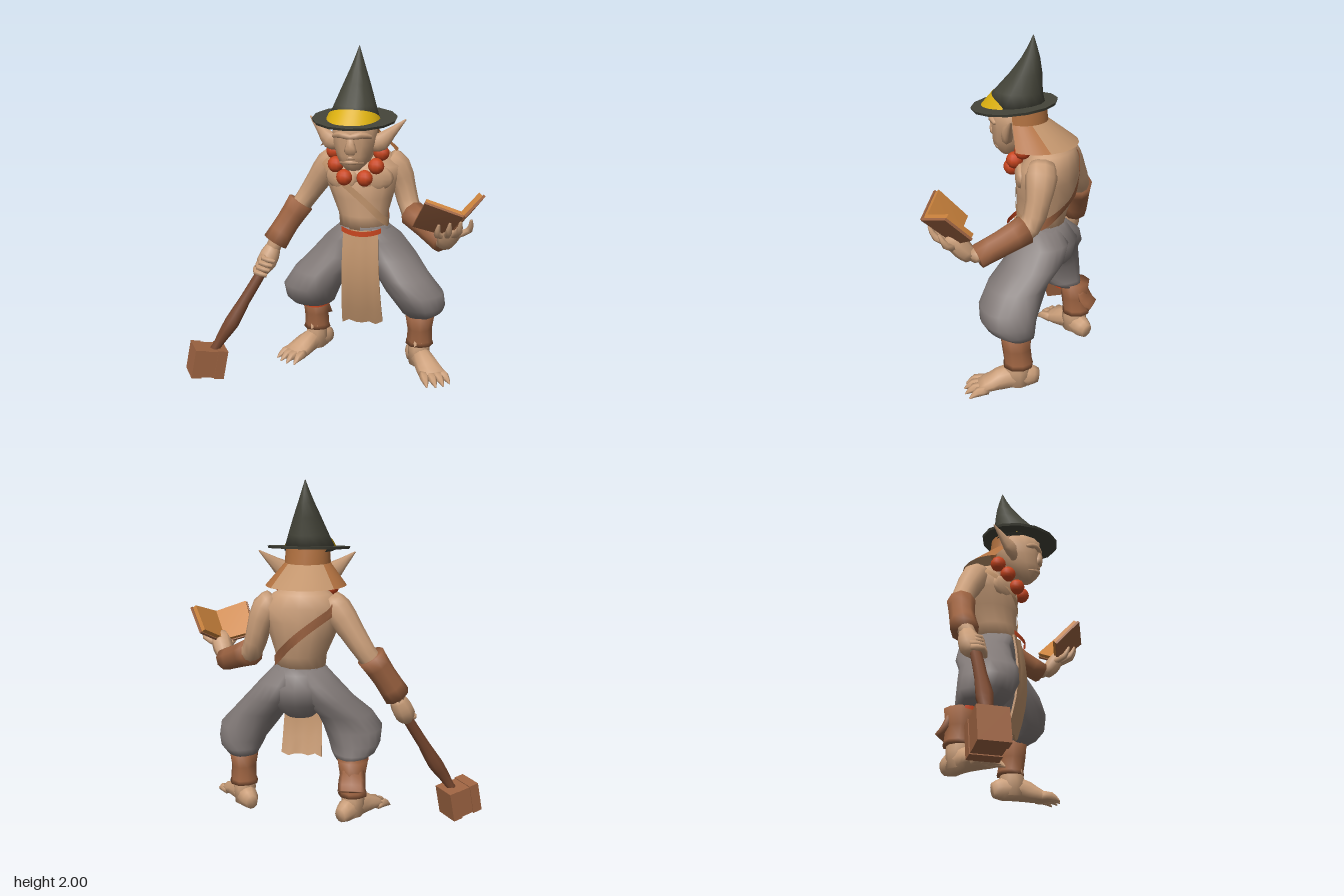
import * as THREE from 'three';

const mat = (name, color, side = THREE.FrontSide) => {
  const m = new THREE.MeshStandardMaterial({ color, side });
  m.name = name;
  return m;
};
const V = (x, y, z) => new THREE.Vector3(x, y, z);

function geometry(pos, idx) {
  const g = new THREE.BufferGeometry();
  g.setAttribute('position', new THREE.Float32BufferAttribute(pos, 3));
  g.setIndex(idx);
  g.computeVertexNormals();
  return g;
}

// Skin rings of n points, closing both ends. frame(i) gives centre, two axes and radii.
function skin(count, n, frame, ripple = 0) {
  const pos = [], idx = [];
  for (let i = 0; i < count; i++) {
    const { c, u, v, a, b } = frame(i);
    for (let j = 0; j < n; j++) {
      const t = (j / n) * Math.PI * 2;
      const k = 1 + ripple * Math.sin(t * 5 + i * 0.9);
      const p = c.clone().addScaledVector(u, a * k * Math.cos(t)).addScaledVector(v, b * k * Math.sin(t));
      pos.push(p.x, p.y, p.z);
      if (i < count - 1) {
        const q = i * n + j, r = i * n + ((j + 1) % n);
        idx.push(q, r, q + n, r, r + n, q + n);
      }
    }
  }
  const first = frame(0).c, last = frame(count - 1).c, s = count * n, e = (count - 1) * n;
  pos.push(first.x, first.y, first.z, last.x, last.y, last.z);
  for (let j = 0; j < n; j++) {
    const k = (j + 1) % n;
    idx.push(s, k, j, s + 1, e + j, e + k);
  }
  return geometry(pos, idx);
}

// Level rings: each section is [x, y, z, radiusX, radiusZ], listed upward
const stack = (sections, n = 14, ripple = 0) => skin(sections.length, n, i => {
  const [x, y, z, a, b] = sections[i];
  return { c: V(x, y, z), u: V(1, 0, 0), v: V(0, 0, -1), a, b };
}, ripple);

// Rings across a smooth path: each point is [x, y, z, radius, otherRadius]
function limb(points, n = 10, ref = V(1, 0, 0), sub = 2) {
  const path = new THREE.CatmullRomCurve3(points.map(p => V(p[0], p[1], p[2])));
  const size = new THREE.CatmullRomCurve3(points.map(p => V(p[3], p[4] ?? p[3], 0)));
  const count = (points.length - 1) * sub + 1;
  return skin(count, n, i => {
    const t = i / (count - 1), d = path.getTangent(t), r = size.getPoint(t);
    const u = ref.clone().addScaledVector(d, -ref.dot(d)).normalize();
    return { c: path.getPoint(t), u, v: d.clone().cross(u), a: r.x, b: r.y };
  });
}

// Thin band lying on a stack, between two heights that depend on the angle
function band(sections, a0, a1, low, high, swell, steps = 28) {
  const at = (y, a) => {
    let i = 0;
    while (i < sections.length - 2 && y > sections[i + 1][1]) i++;
    const s = sections[i], e = sections[i + 1], k = (y - s[1]) / (e[1] - s[1]);
    const [x, , z, rx, rz] = s.map((v, m) => v + (e[m] - v) * k);
    return [x + rx * swell * Math.cos(a), y, z + rz * swell * Math.sin(a)];
  };
  const pos = [], idx = [];
  for (let i = 0; i <= steps; i++) {
    const a = a0 + ((a1 - a0) * i) / steps;
    for (let r = 0; r < 3; r++) pos.push(...at(low(a) + ((high(a) - low(a)) * r) / 2, a));
    if (i < steps) for (let r = 0; r < 2; r++) {
      const q = i * 3 + r;
      idx.push(q, q + 1, q + 3, q + 1, q + 4, q + 3);
    }
  }
  return geometry(pos, idx);
}

// Box stretched over four corners, from depth d0 to d1 along the normal
function slab([p, q, r, s], d0, d1, inset = 0) {
  const g = new THREE.BoxGeometry(1, 1, 1), at = g.attributes.position;
  const n = q.clone().sub(p).cross(s.clone().sub(p)).normalize();
  for (let i = 0; i < at.count; i++) {
    const u = 0.5 + at.getX(i) * (1 - inset), v = 0.5 + at.getY(i) * (1 - inset);
    const w = p.clone().lerp(q, u).lerp(s.clone().lerp(r, u), v);
    w.addScaledVector(n, at.getZ(i) < 0 ? d0 : d1);
    at.setXYZ(i, w.x, w.y, w.z);
  }
  g.computeVertexNormals();
  return g;
}

export function createModel() {
  const model = new THREE.Group();
  const skinM = mat('skin', 0xcb9f7a), hatM = mat('dark felt', 0x444439);
  const goldM = mat('yellow patch', 0xdcb010, THREE.DoubleSide), greyM = mat('grey cloth', 0x837b79);
  const leather = mat('leather', 0x9e6442, THREE.DoubleSide), wood = mat('dark wood', 0x77472f);
  const red = mat('red', 0xc9461f, THREE.DoubleSide), page = mat('pages', 0xca823c);
  const hairM = mat('hair', 0xb0703f, THREE.DoubleSide), clothM = mat('tan cloth', 0xc1946c, THREE.DoubleSide);
  const add = (name, geo, m) => {
    const mesh = new THREE.Mesh(geo, m);
    mesh.name = name;
    model.add(mesh);
    return mesh;
  };
  const MID = 0.155, PI = Math.PI, flip = pts => pts.map(([x, ...r]) => [2 * MID - x, ...r]);

  // Torso and shoulder strap
  const torso = [[.185, .96, -.1, .14, .13], [.18, 1.05, -.11, .145, .14], [.17, 1.15, -.13, .18, .16],
    [.165, 1.25, -.13, .215, .165], [.165, 1.33, -.15, .235, .145], [.16, 1.4, -.16, .16, .115], [.155, 1.45, -.12, .07, .08]];
  add('torso', stack(torso, 16), skinM);
  for (const s of [-1, 1]) {
    const chest = add('chestMuscle', new THREE.SphereGeometry(1, 10, 8), skinM);
    chest.scale.set(.11, .075, .03);
    chest.position.set(.165 + s * .095, 1.27, -.012);
    chest.rotation.y = s * .4;
  }
  const strapY = a => 1.18 - .18 * Math.cos(a);
  const strap = (name, from, w, m) => add(name, band(torso, from, from + PI, a => strapY(a) - w, a => strapY(a) + w, 1.045, 24), m);
  strap('frontStrap', 0, .026, clothM);
  strap('backStrap', PI, .032, leather);
  add('neck', limb([[.16, 1.36, -.13, .1], [.155, 1.43, -.04, .085], [.155, 1.5, .03, .08]]), skinM);

  // Head and face
  add('head', stack([[MID, 1.345, .095, .04, .04], [MID, 1.38, .085, .075, .085], [MID, 1.43, .065, .1, .12],
    [MID, 1.49, .05, .12, .135], [MID, 1.54, .05, .125, .14], [MID, 1.62, .05, .12, .135]], 12), skinM);
  add('nose', limb([[MID, 1.54, .165, .02], [MID, 1.5, .178, .025], [MID, 1.46, .178, .036, .022], [MID, 1.445, .16, .015]], 8), skinM);
  add('brow', limb([[.05, 1.535, .13, .01], [.1, 1.55, .17, .02], [MID, 1.54, .184, .016], [.21, 1.55, .17, .02], [.26, 1.535, .13, .01]], 6, V(0, 1, 0)), skinM);
  for (const y of [1.425, 1.4]) add('lip', limb([[.09, y - .01, .13, .006], [MID, y, .175, .014], [.22, y - .01, .13, .006]], 6, V(0, 1, 0)), skinM);
  const ear = [[.06, 1.465, .05, .03, .02], [.01, 1.495, .045, .052, .032], [-.04, 1.54, .015, .033, .02], [-.115, 1.61, -.03, .004, .004]];
  add('rightEar', limb(ear, 8, V(0, 1, 0)), skinM);
  add('leftEar', limb(flip(ear), 8, V(0, 1, 0)), skinM);

  // Hair close to the skull, side locks, and a collar flaring over the back
  const mane = [[MID, 1.43, -.07, .225, .225], [MID, 1.545, 0, .128, .125], [MID, 1.63, .01, .124, .125]];
  add('hairCap', band(mane, .95 * PI, 2.05 * PI, () => 1.545, () => 1.63, 1, 12), hairM);
  for (const [name, from, to, m] of [['rightLock', .95, 1.22, hairM], ['backCollar', 1.22, 1.78, clothM], ['leftLock', 1.78, 2.05, hairM]]) {
    add(name, band(mane, from * PI, to * PI, () => 1.43, () => 1.545, 1, 6), m);
  }

  // Pointed hat
  const hat = [[.15, 1.61, .065, .148, .175], [.152, 1.7, .035, .115, .13], [.153, 1.8, -.01, .077, .085],
    [.155, 1.88, -.035, .045, .05], [.157, 1.94, -.045, .023, .025], [.158, 2, -.05, .002, .002]];
  add('hatCone', stack(hat, 14, .015), hatM);
  const brim = add('hatBrim', new THREE.CylinderGeometry(.235, .23, .014, 14), hatM);
  brim.position.set(MID, 1.622, .06);
  brim.rotation.x = .1;
  add('hatPatch', band(hat, .06, PI - .06, () => 1.612, a => 1.616 + .072 * Math.sqrt(Math.sin(a)), 1.04), goldM);

  // Bead necklace
  const beads = [[.02, 1.415, -.04], [.04, 1.35, .015], [.097, 1.287, .055]];
  for (const [x, y, z] of [...beads, ...flip(beads)]) {
    add('bead', new THREE.SphereGeometry(.046, 10, 8), red).position.set(x, y, z);
  }

  // Baggy trousers
  add('trouserSeat', stack([[.19, .68, -.1, .08, .07], [.19, .78, -.14, .18, .145], [.19, .88, -.145, .19, .162],
    [.19, .95, -.115, .16, .145], [.188, .99, -.1, .14, .13]], 16), greyM);
  add('rightTrouserLeg', stack([[-.105, .45, -.16, .08, .09], [-.12, .48, -.11, .125, .13], [-.125, .53, -.08, .15, .155],
    [-.11, .61, -.06, .17, .17], [-.06, .7, -.07, .16, .165], [.035, .8, -.12, .155, .165], [.09, .9, -.135, .125, .155], [.14, .98, -.1, .09, .12]], 20, .03), greyM);
  add('leftTrouserLeg', stack([[.53, .44, -.1, .085, .09], [.54, .48, -.07, .12, .13], [.535, .53, -.05, .14, .155],
    [.5, .61, -.045, .165, .17], [.43, .7, -.06, .155, .165], [.345, .8, -.115, .155, .165], [.285, .9, -.135, .125, .155], [.235, .98, -.1, .09, .12]], 20, .03), greyM);

  // Front cloth and belt
  const cloth = new THREE.BoxGeometry(1, 1, .012, 6, 6, 1), cp = cloth.attributes.position;
  for (let i = 0; i < cp.count; i++) {
    const u = cp.getX(i), v = .5 - cp.getY(i);
    cp.setXYZ(i, .19 + u * (.2 + .04 * v) + .01 * v, .975 - .575 * v + .015 * v * Math.sin(u * 17),
      .04 + .035 * Math.sin(v * 3) - .045 * v * v + .008 * Math.cos(u * 14) - .05 * u * u + cp.getZ(i));
  }
  cloth.computeVertexNormals();
  add('frontCloth', cloth, clothM);
  add('belt', band([[.195, .9, -.1, .2, .175], [.195, 1.05, -.1, .2, .175]], .96, 2.18,
    a => 1.055 - .105 * Math.sin(a), a => 1.085 - .105 * Math.sin(a), 1, 10), red);

  // Leg wraps, ankles, feet, toes
  const foot = (side, x, z, dx, dz) => {
    add(side + 'Ankle', stack([[x, .13, z, .06, .07], [x, .22, z, .066, .075], [x, .32, z, .062, .065]], 10), skinM);
    add(side + 'LegWrap', stack([[x, .255, z - .01, .085, .085], [x, .28, z - .01, .075, .08], [x, .36, z, .072, .08], [x, .46, z, .088, .09]], 9, .03), leather);
    const at = (f, s, y) => [x + dx * f + dz * s, y, z + dz * f - dx * s];
    add(side + 'Foot', limb([[...at(-.12, 0, .16), .035, .045], [...at(-.06, 0, .17), .058, .068], [...at(.05, 0, .175), .06, .07],
      [...at(.14, 0, .152), .075, .05], [...at(.21, 0, .135), .078, .03]], 10), skinM);
    for (let i = 0; i < 4; i++) {
      const s = (i - 1.5) * .042, f = .3 - Math.abs(s) * .4;
      add(side + 'Toe', limb([[...at(.17, s * .8, .137), .028], [...at(f - .05, s, .135), .026], [...at(f, s * 1.15, .105), .004]], 6), skinM);
    }
  };
  foot('right', -.125, -.21, -.52, .854);
  foot('left', .53, -.09, .52, .854);
  add('wrapFlap', limb([[-.125, .43, -.25, .06, .03], [-.125, .36, -.275, .075, .028], [-.125, .31, -.325, .075, .012]], 8), leather);
  add('redTrim', band([[-.12, .4, -.19, .094, .1], [-.12, .5, -.19, .094, .1]], .35, 2.8, a => .445 - .02 * Math.sin(a), () => .455, 1, 12), red);

  // Arms with bracers
  add('rightArm', limb([[.02, 1.36, -.16, .07], [-.03, 1.31, -.17, .085], [-.11, 1.2, -.19, .07], [-.19, 1.08, -.2, .06],
    [-.29, .94, -.165, .055], [-.37, .79, -.1, .045]]), skinM);
  add('rightBracer', limb([[-.215, 1.06, -.19, .082], [-.29, .94, -.16, .072], [-.36, .82, -.12, .078]], 9), leather);
  add('leftArm', limb([[.31, 1.36, -.16, .07], [.36, 1.31, -.17, .085], [.41, 1.19, -.17, .066], [.455, 1.06, -.14, .06],
    [.57, .99, -.03, .055], [.66, .96, .08, .045], [.7, 1, .14, .045]]), skinM);
  add('leftBracer', limb([[.465, 1.05, -.12, .08], [.56, 1, -.03, .07], [.66, .95, .07, .066]], 9), leather);

  // Right hand holding the hammer
  add('rightHand', limb([[-.36, .81, -.11, .04], [-.385, .75, -.09, .06], [-.405, .7, -.07, .062], [-.42, .65, -.04, .035]], 8), skinM);
  for (let i = 0; i < 4; i++) {
    const x = -.375 - i * .014, y = .745 - i * .027, z = -.07 + i * .009;
    add('rightFinger', limb([[x - .045, y + .01, z - .01, .016], [x - .03, y, z + .05, .019], [x + .035, y - .02, z + .045, .012]], 6, V(0, 1, 0)), skinM);
  }
  add('hammerHandle', limb([[-.365, .78, -.09, .03], [-.42, .66, -.04, .032], [-.52, .48, .02, .035], [-.59, .35, .06, .046],
    [-.64, .27, .085, .036], [-.72, .13, .115, .036]], 8), wood);
  const hammer = new THREE.Group();
  hammer.name = 'hammerHead';
  hammer.position.set(-.738, .112, .12);
  hammer.rotation.set(0, .57, -.2);
  for (const [x, w, s] of [[-.07, .06, 1], [0, .1, .94], [.07, .06, 1]]) {
    const m = new THREE.Mesh(new THREE.BoxGeometry(w, .18 * s, .16 * s), leather);
    m.name = 'hammerBlock';
    m.position.x = x;
    hammer.add(m);
  }
  model.add(hammer);

  // Left hand holding an open book
  add('leftHand', limb([[.67, .95, .1, .04], [.69, 1, .14, .06, .05], [.71, 1.05, .17, .06, .045], [.72, 1.08, .2, .04, .03]], 8), skinM);
  for (const [x, y, z] of [[.64, 1.09, .25], [.7, 1.11, .275], [.755, 1.12, .27], [.805, 1.11, .19]]) {
    add('leftFinger', limb([[.69 + (x - .71) * .4, 1.02, .16, .02], [x, y - .05, z - .02, .019], [x + .01, y + .015, z + .012, .008]], 6), skinM);
  }
  const low = V(.69, 1.03, .17), high = V(.78, 1.18, .31);
  const leaves = [[V(.505, 1.08, .2), low, high, V(.58, 1.25, .335)], [low, V(.79, 1.12, .03), V(.87, 1.25, .13), high]];
  for (const leaf of leaves) {
    add('bookCover', slab(leaf, 0, .014), leather);
    add('bookPages', slab(leaf, -.025, 0, .06), page);
  }
  return model;
}
